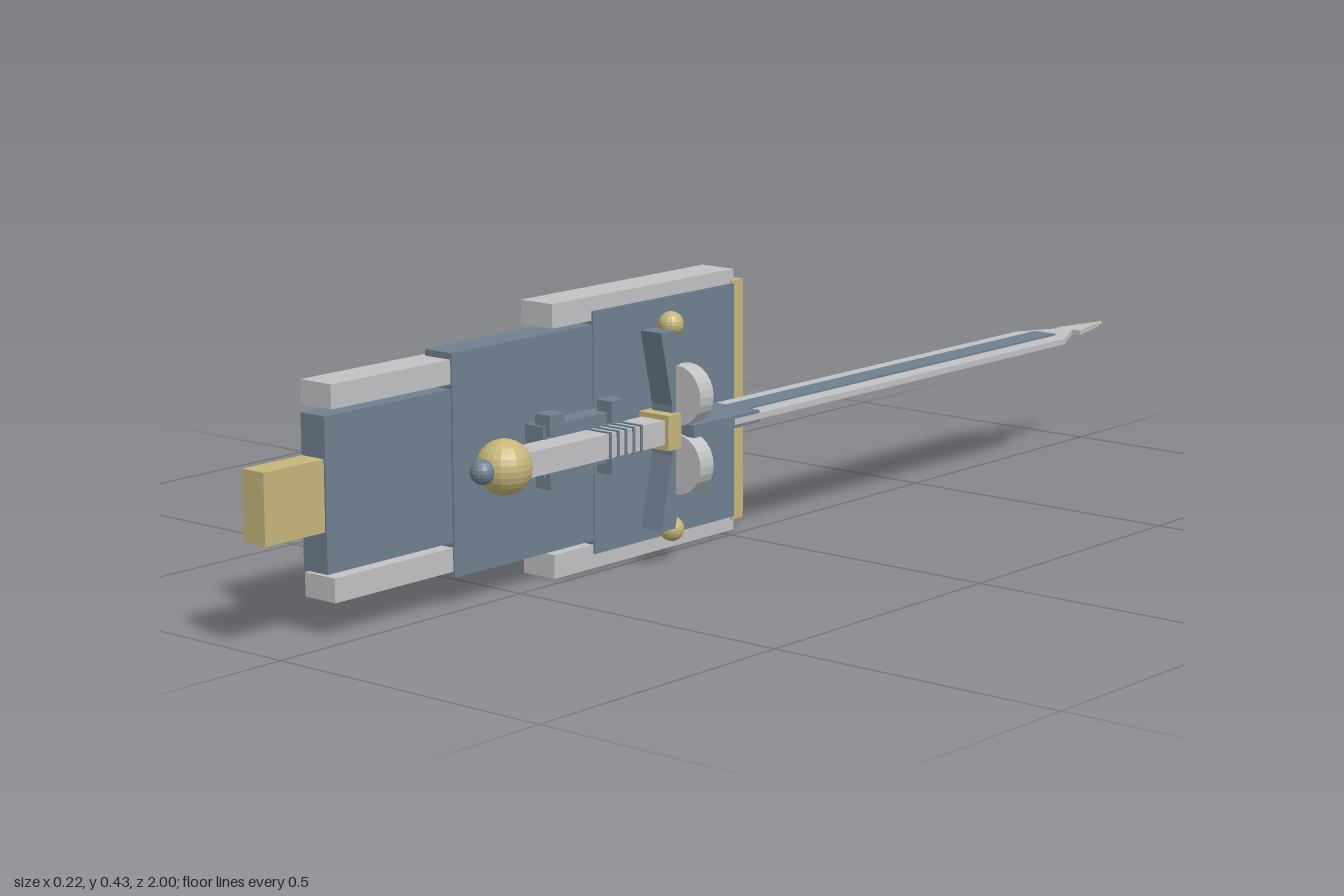
import * as THREE from 'three';

const mat = (name, color) => {
  const m = new THREE.MeshStandardMaterial({ color, flatShading: true });
  m.name = name;
  return m;
};

export function createModel() {
  const root = new THREE.Group();
  const steel = mat('slate blue steel', 0x708090);
  const silver = mat('silver', 0xc2c2c5);
  const gold = mat('pale gold', 0xc6b67a);
  const shield = new THREE.Group();
  shield.name = 'shield';
  const sword = new THREE.Group();
  sword.name = 'sword';
  root.add(shield, sword);

  const CX = 0.04, CY = 0.218; // sword axis
  const add = (parent, name, geo, material, x = 0, y = 0, z = 0) => {
    const m = new THREE.Mesh(geo, material);
    m.name = name;
    m.position.set(x, y, z);
    parent.add(m);
    return m;
  };
  // box given by its limits on each axis
  const box = (parent, name, material, x0, x1, y0, y1, z0, z1) =>
    add(parent, name, new THREE.BoxGeometry(x1 - x0, y1 - y0, z1 - z0), material,
      (x0 + x1) / 2, (y0 + y1) / 2, (z0 + z1) / 2);
  // box repeated above and below the axis, from offset d0 to d1
  const pair = (parent, name, material, x0, x1, d0, d1, z0, z1) => {
    box(parent, name + 'Upper', material, x0, x1, CY + d0, CY + d1, z0, z1);
    box(parent, name + 'Lower', material, x0, x1, CY - d1, CY - d0, z0, z1);
  };

  // stepped shield panels
  box(shield, 'rearPanel', steel, -0.077, -0.018, 0.025, 0.411, -0.03, 0.31);
  box(shield, 'middlePanel', steel, -0.075, -0.02, 0.047, 0.39, 0.3, 0.622);
  box(shield, 'frontPanel', steel, -0.072, -0.023, 0.101, 0.335, 0.6, 0.882);
  pair(shield, 'rearRail', silver, -0.086, -0.021, 0.178, 0.216, -0.033, 0.4);
  pair(shield, 'frontRail', silver, -0.085, -0.023, 0.125, 0.162, 0.41, 0.868);
  box(shield, 'endStrip', gold, -0.089, -0.018, 0.02, 0.416, -0.053, -0.025);
  box(shield, 'frontBlock', gold, -0.07, -0.026, 0.164, 0.272, 0.87, 1);

  // fittings on the outer face of the shield
  box(shield, 'spine', gold, -0.094, -0.07, 0.189, 0.247, -0.03, 0.65);
  box(shield, 'crossBar', gold, -0.094, -0.07, 0.083, 0.353, 0.135, 0.185);
  box(shield, 'bossBlock', silver, -0.112, -0.07, 0.158, 0.278, 0.1, 0.22);
  pair(shield, 'stud', gold, -0.097, -0.07, 0.067, 0.127, 0.275, 0.33);

  // bracket holding the sword grip
  box(shield, 'bracket', steel, -0.022, 0.018, 0.178, 0.258, 0.277, 0.465);
  for (const z of [0.295, 0.435])
    pair(shield, 'bracketClaw', steel, -0.003, 0.028, 0.025, 0.058, z - 0.008, z + 0.025);

  // grip with ribs, pommel and end knob
  box(sword, 'grip', silver, 0.016, 0.064, 0.199, 0.238, 0.23, 0.55);
  for (let i = 0; i < 5; i++) {
    const z = 0.29 + i * 0.018;
    box(sword, 'gripRib', steel, 0.015, 0.066, 0.197, 0.24, z, z + 0.005);
  }
  add(sword, 'pommel', new THREE.SphereGeometry(0.043, 20, 14), gold, CX, CY, 0.575);
  add(sword, 'endKnob', new THREE.SphereGeometry(0.019, 16, 10), steel, CX, CY, 0.622);

  // guard: swept wings, ball ends, discs and collar
  const outline = (pts) => new THREE.Shape(pts.map(([a, b]) => new THREE.Vector2(a, b)));
  const wing = outline([[0.215, -0.005], [0.215, 0.04], [0.241, 0.158], [0.208, 0.158], [0.185, 0.05], [0.185, -0.005]]);
  for (const s of [1, -1]) {
    const geo = new THREE.ExtrudeGeometry(wing, { depth: 0.042, bevelEnabled: false });
    geo.rotateY(-Math.PI / 2);
    if (s < 0) geo.rotateZ(Math.PI);
    add(sword, 'guardWing', geo, steel, CX + s * 0.021, CY, 0);
    add(sword, 'guardBall', new THREE.SphereGeometry(0.02, 16, 12), gold, CX, CY + s * 0.164, 0.193);
    const disc = new THREE.CylinderGeometry(0.048, 0.048, 0.032, 24).rotateX(Math.PI / 2);
    add(sword, 'guardDisc', disc, silver, 0.063, CY + s * 0.055, 0.19);
  }
  box(sword, 'guardCollar', gold, 0.01, 0.071, 0.19, 0.246, 0.205, 0.236);

  // blade parts: flat outlines in x and z, centred on the axis
  const plate = (name, material, pts, thick) => {
    const geo = new THREE.ExtrudeGeometry(outline(pts), { depth: thick, bevelEnabled: false });
    geo.translate(0, 0, -thick / 2).rotateX(-Math.PI / 2);
    add(sword, name, geo, material, CX, CY, 0);
  };
  plate('blade', silver, [[-0.053, -0.1], [0.053, -0.1], [0.053, 0.81], [0.008, 0.9], [-0.008, 0.9], [-0.053, 0.81]], 0.01);
  plate('bladeInlay', steel, [[-0.022, -0.1], [0.022, -0.1], [0.022, 0.825], [-0.022, 0.825]], 0.016);
  plate('bladeRoot', steel, [[-0.053, -0.2], [0.053, -0.2], [0.053, -0.04], [-0.053, -0.04]], 0.02);
  plate('bladePoint', silver, [[-0.027, 0.895], [0.027, 0.895], [0, 0.998]], 0.008);
  add(sword, 'tipBead', new THREE.SphereGeometry(0.005, 10, 8), gold, CX, CY, -0.995);

  return root;
}
